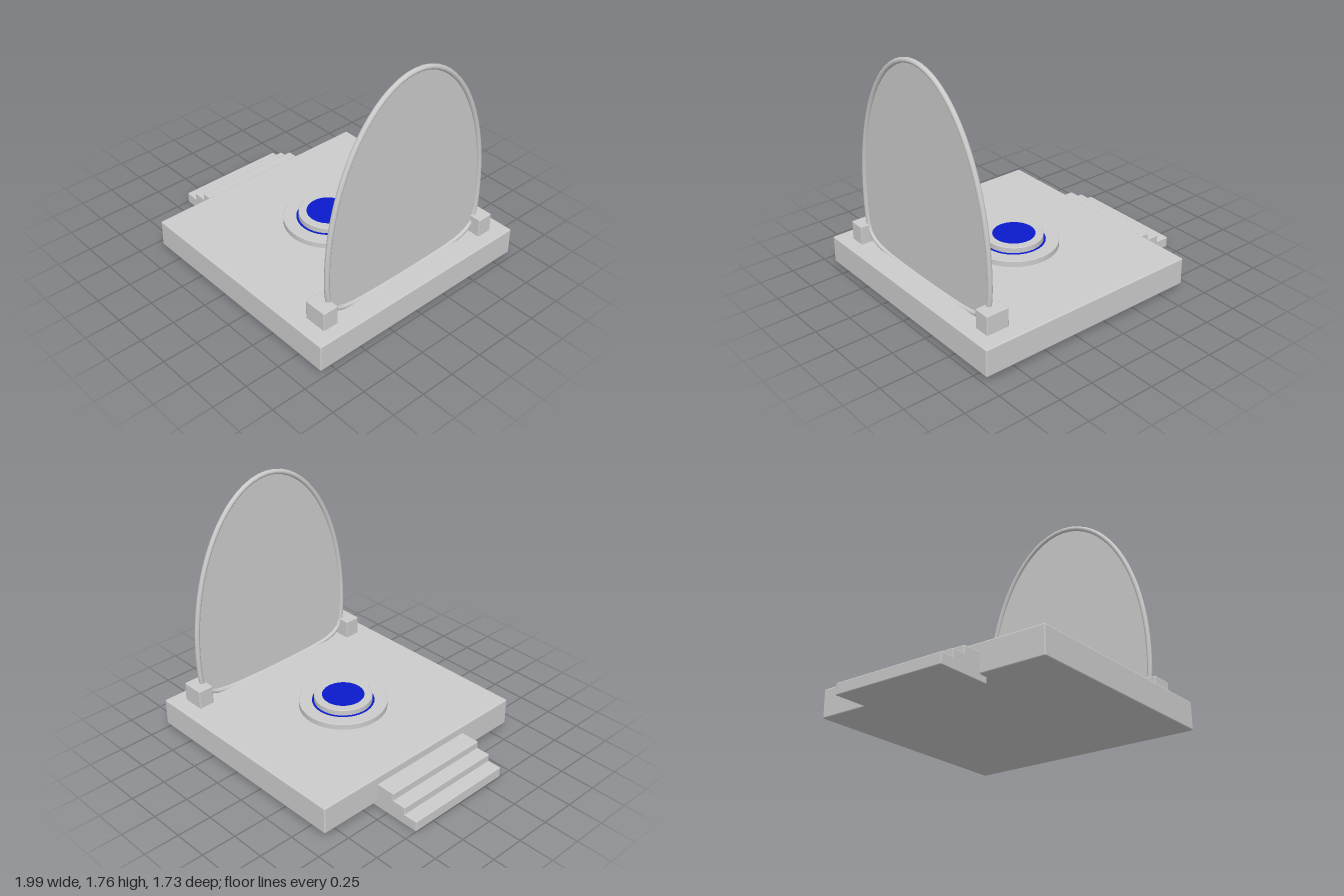
import * as THREE from 'three';
import { RoundedBoxGeometry } from 'three/addons/geometries/RoundedBoxGeometry.js';

export function createModel() {
  const model = new THREE.Group();
  const grey = new THREE.MeshStandardMaterial({ color: 0xcccccc });
  const sheet = new THREE.MeshStandardMaterial({ color: 0xcccccc, side: THREE.DoubleSide });
  const blue = new THREE.MeshStandardMaterial({ color: 0x0a1acc });

  function add(name, geometry, material = grey) {
    const mesh = new THREE.Mesh(geometry, material);
    mesh.name = name;
    model.add(mesh);
    return mesh;
  }

  // Softly bevelled box given by its extents
  function block(name, x0, x1, y0, y1, z0, z1, bevel) {
    const g = new RoundedBoxGeometry(x1 - x0, y1 - y0, z1 - z0, 2, bevel);
    add(name, g).position.set((x0 + x1) / 2, (y0 + y1) / 2, (z0 + z1) / 2);
  }

  // Platform
  block('platform', -0.662, 0.99, 0.048, 0.245, -0.868, 0.864, 0.01);

  // Steps, each set back by one tread
  const stepTops = [0.082, 0.135, 0.187];
  stepTops.forEach((top, i) => {
    const bottom = i === 0 ? 0.004 : stepTops[i - 1] - 0.015;
    block('step' + (i + 1), -1 + i * 0.101, i === 0 ? -0.595 : -0.64, bottom, top, -0.408, 0.404, 0.007);
  });

  // Round pedestal: chamfered discs with blue glowing faces
  function disc(name, radius, y0, y1, chamfer, material) {
    const c = chamfer;
    const profile = [[0, y0], [radius, y0], [radius, y0], [radius, y1 - c], [radius, y1 - c],
      [radius - c, y1], [radius - c, y1], [0, y1]].map(([r, y]) => new THREE.Vector2(r, y));
    add(name, new THREE.LatheGeometry(profile, 48), material).position.set(0.088, 0, -0.004);
  }
  disc('pedestalBase', 0.307, 0.24, 0.286, 0.003, grey);
  disc('blueRing', 0.217, 0.28, 0.289, 0.001, blue);
  disc('pedestalTop', 0.203, 0.285, 0.33, 0.004, grey);
  disc('blueDisc', 0.147, 0.325, 0.332, 0.001, blue);

  // Posts holding the arch
  for (const side of [-1, 1]) {
    block('archPost', 0.728, 0.896, 0.24, 0.38, side * 0.697 - 0.058, side * 0.697 + 0.058, 0.008);
  }

  // Arch outline in (z, y): half an ellipse above, a flatter curve below
  const outline = [];
  const halfWidth = 0.674, centreY = 0.58;
  for (let i = 0; i <= 20; i++) {
    const a = (i / 20) * Math.PI;
    outline.push(new THREE.Vector2(halfWidth * Math.cos(a), centreY + 1.163 * Math.sin(a)));
  }
  const lower = [[0.667, 0.42], [0.643, 0.325], [0.58, 0.274], [0.47, 0.246], [0.2, 0.232]];
  lower.forEach(([z, y]) => outline.push(new THREE.Vector2(-z, y)));
  lower.reverse().forEach(([z, y]) => outline.push(new THREE.Vector2(z, y)));
  outline.forEach((p) => { p.x -= 0.007; });

  // The arch leans and turns very slightly
  const archX = (z, y) => 0.815 + 0.012 * (y - 0.25) + 0.006 * z;

  // Rim of the arch
  const path = new THREE.CatmullRomCurve3(
    outline.map((p) => new THREE.Vector3(archX(p.x, p.y), p.y, p.x)), true);
  add('archRim', new THREE.TubeGeometry(path, 72, 0.018, 10, true));

  // Thin panel filling the arch
  const panel = new THREE.ShapeGeometry(new THREE.Shape(outline));
  const pos = panel.attributes.position;
  for (let i = 0; i < pos.count; i++) {
    const z = pos.getX(i), y = pos.getY(i);
    pos.setXYZ(i, archX(z, y), y, z);
  }
  panel.computeVertexNormals();
  add('archPanel', panel, sheet);

  return model;
}
